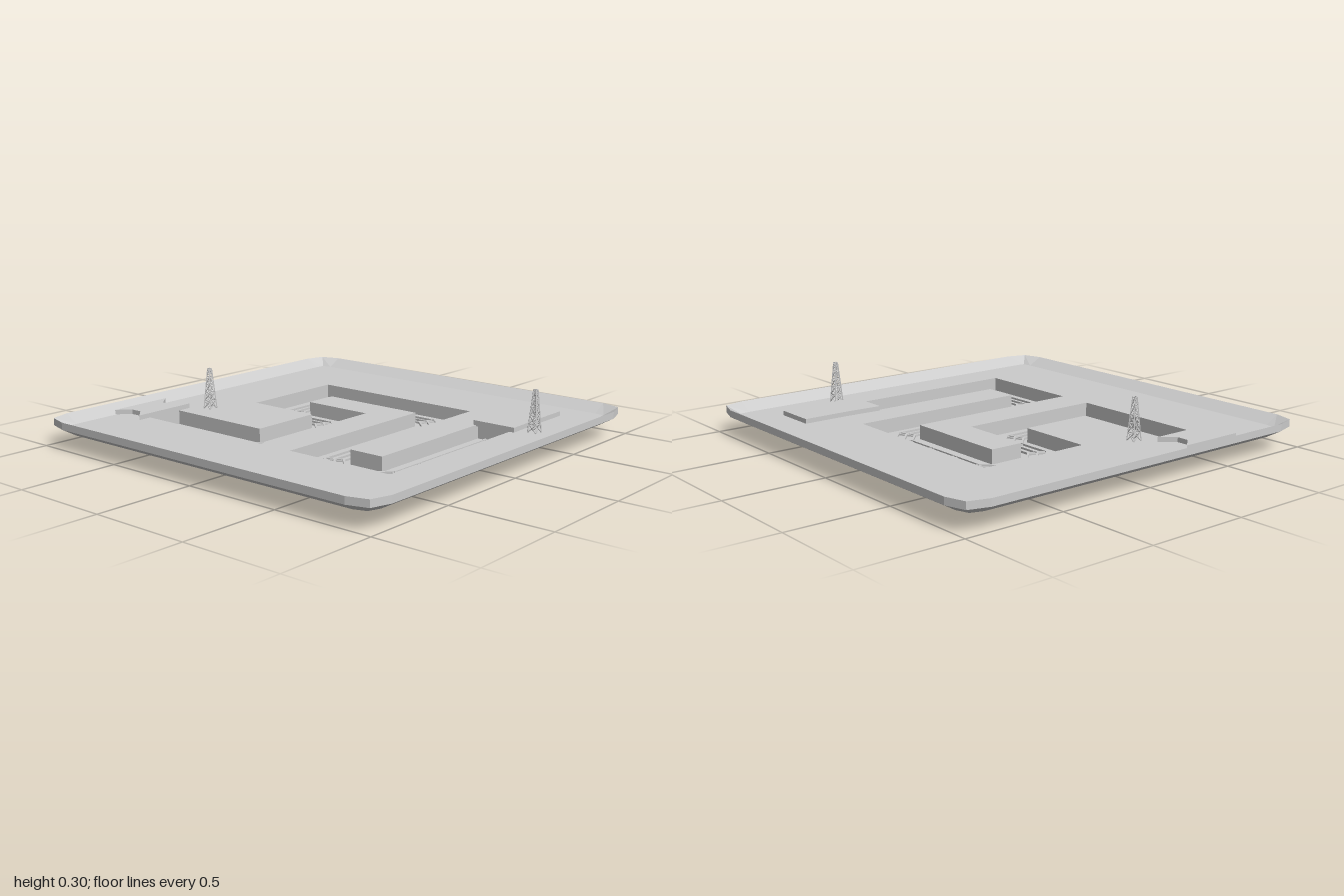
import * as THREE from 'three';
import { mergeGeometries } from 'three/addons/utils/BufferGeometryUtils.js';

const FLOOR = 0.095, UNDER = 0.06, TRENCH = 0.025, RIM = 0.135;

const mat = new THREE.MeshStandardMaterial({ color: 0xcccccc, flatShading: true, side: THREE.DoubleSide });

function mesh(name, geometry) {
  const m = new THREE.Mesh(geometry, mat);
  m.name = name;
  return m;
}

// Plan outline [x, z] to a shape that lies flat after a turn about x
const plan = pts => new THREE.Shape(pts.map(([x, z]) => new THREE.Vector2(x, -z)));

function sheet(pts, y, hole) {
  const s = plan(pts);
  if (hole) s.holes.push(plan(hole));
  return new THREE.ShapeGeometry(s).rotateX(-Math.PI / 2).translate(0, y, 0);
}

function slab(pts, y0, y1) {
  return new THREE.ExtrudeGeometry(plan(pts), { depth: y1 - y0, bevelEnabled: false })
    .rotateX(-Math.PI / 2).translate(0, y0, 0);
}

// Closed skin between successive rings of [x, z] at given heights
function skin(rings) {
  const pos = [];
  for (let k = 0; k + 1 < rings.length; k++) {
    const A = rings[k], B = rings[k + 1], n = A.pts.length;
    for (let i = 0; i < n; i++) {
      const j = (i + 1) % n;
      const p = (r, q) => [r.pts[q][0], r.y, r.pts[q][1]];
      const a = p(A, i), b = p(A, j), c = p(B, j), d = p(B, i);
      pos.push(...a, ...d, ...c, ...a, ...c, ...b);
    }
  }
  const g = new THREE.BufferGeometry();
  g.setAttribute('position', new THREE.Float32BufferAttribute(pos, 3));
  g.computeVertexNormals();
  return g;
}

// Square bar between two points
function bar(a, b, w, h = w) {
  const A = new THREE.Vector3(...a), B = new THREE.Vector3(...b);
  const g = new THREE.BoxGeometry(w, h, A.distanceTo(B));
  const o = new THREE.Object3D();
  o.position.copy(A).add(B).multiplyScalar(0.5);
  o.lookAt(B);
  o.updateMatrix();
  return g.applyMatrix4(o.matrix);
}

// Square outline with clipped corners
function outline(r, mid, cut) {
  const pts = [];
  for (const [sx, sz] of [[1, 1], [-1, 1], [-1, -1], [1, -1]]) {
    const c = [[sx * r, sz * cut], [sx * mid, sz * mid], [sx * cut, sz * r]];
    pts.push(...(sx * sz > 0 ? c : c.reverse()));
  }
  return pts;
}

const trenchOutline = [
  [-0.56, -0.75], [-0.56, 0], [0.19, 0], [0.19, -0.37], [0.36, -0.37], [0.36, 0.18],
  [-0.56, 0.18], [-0.56, 0.74], [0.37, 0.74], [0.37, 0.55], [-0.37, 0.55], [-0.37, 0.37],
  [0.56, 0.37], [0.56, -0.57], [0, -0.57], [0, -0.19], [-0.37, -0.19], [-0.37, -0.75]];

const trackPath = [
  [-0.465, -0.56], [-0.465, -0.19], [-0.375, -0.1], [0, -0.1], [0.09, -0.19], [0.09, -0.37],
  [0.185, -0.465], [0.37, -0.465], [0.46, -0.37], [0.46, 0.18], [0.37, 0.275], [-0.37, 0.275],
  [-0.465, 0.37], [-0.465, 0.55], [-0.37, 0.645], [0.36, 0.645]];

// Track: outer and centre rails with ties, in short panels
function track() {
  const parts = [], half = 0.042;
  const dirs = trackPath.slice(1).map((p, i) =>
    new THREE.Vector2(p[0] - trackPath[i][0], p[1] - trackPath[i][1]).normalize());
  // Mitred sideways offset at each path point
  const miter = trackPath.map((_, i) => {
    const a = dirs[Math.max(i - 1, 0)], b = dirs[Math.min(i, dirs.length - 1)];
    const n = new THREE.Vector2(-a.y - b.y, a.x + b.x).normalize();
    return n.multiplyScalar(1 / (n.x * -a.y + n.y * a.x));
  });
  for (let i = 0; i + 1 < trackPath.length; i++) {
    const at = (t, off, y) => [0, 1].map(k => THREE.MathUtils.lerp(
      trackPath[i][k] + miter[i].getComponent(k) * off,
      trackPath[i + 1][k] + miter[i + 1].getComponent(k) * off, t)).toSpliced(1, 0, y);
    const len = Math.hypot(trackPath[i + 1][0] - trackPath[i][0], trackPath[i + 1][1] - trackPath[i][1]);
    const n = Math.max(1, Math.round(len / 0.185));
    for (let k = 0; k < n; k++) {
      const t0 = k / n, t1 = (k + 1) / n, e = 0.012 / len;
      for (const off of [-half, 0, half]) {
        parts.push(bar(at(t0, off, 0.025), at(t1, off, 0.025), 0.01, 0.02));
        parts.push(bar(at(t0 + e, off, 0.009), at(t1 - e, off, 0.009), 0.012, 0.018));
      }
      for (const t of [t0 + e, t1 - e]) parts.push(bar(at(t, -half, 0.02), at(t, half, 0.02), 0.008, 0.025));
    }
  }
  return mergeGeometries(parts);
}

// Tapered lattice tower
function tower(x, z) {
  const parts = [], levels = 5, y0 = FLOOR, y1 = 0.3;
  const corner = (k, q) => {
    const t = k / levels, r = THREE.MathUtils.lerp(0.023, 0.007, t);
    const a = Math.PI / 4 + q * Math.PI / 2;
    return [Math.cos(a) * r * 1.414, THREE.MathUtils.lerp(y0, y1, t), Math.sin(a) * r * 1.414];
  };
  for (let q = 0; q < 4; q++) {
    parts.push(bar(corner(0, q), corner(levels, q), 0.005));
    for (let k = 0; k < levels; k++) {
      parts.push(bar(corner(k + 1, q), corner(k + 1, q + 1), 0.003));
      parts.push(bar(corner(k, q), corner(k + 1, q + 1), 0.003));
      parts.push(bar(corner(k, q + 1), corner(k + 1, q), 0.003));
    }
  }
  const m = mesh('latticeTower', mergeGeometries(parts));
  m.position.set(x, 0, z);
  return m;
}

export function createModel() {
  const model = new THREE.Group();
  model.name = 'trackPlatform';

  // Platform with a raised rim, bevelled underneath
  const bottom = outline(0.93, 0.91, 0.85), outer = outline(1, 0.97, 0.87), inner = outline(0.925, 0.92, 0.87);
  model.add(mesh('rim', skin([
    { y: UNDER, pts: bottom }, { y: 0.1, pts: outer }, { y: RIM, pts: outer }, { y: FLOOR, pts: inner }])));
  model.add(mesh('ground', sheet(inner, FLOOR, trenchOutline)));
  model.add(mesh('underside', sheet(bottom, UNDER, trenchOutline)));

  // Winding trench
  model.add(mesh('trenchWalls', skin([{ y: TRENCH, pts: trenchOutline }, { y: FLOOR, pts: trenchOutline }])));
  model.add(mesh('trenchFloor', sheet(trenchOutline, TRENCH)));
  model.add(mesh('track', track()));

  // Pads at the two ends of the trench
  model.add(mesh('startPad', slab([
    [-0.63, -0.93], [-0.57, -0.87], [-0.57, -0.81], [-0.63, -0.75],
    [-0.3, -0.75], [-0.37, -0.81], [-0.37, -0.87], [-0.3, -0.93]], FLOOR - 0.005, 0.118)));
  model.add(mesh('endPad', slab([
    [0.35, 0.535], [0.35, 0.765], [0.53, 0.76], [0.77, 0.76], [0.77, 0.545], [0.53, 0.545]], FLOOR - 0.005, 0.118)));

  // Towers beside the pads
  model.add(tower(-0.235, -0.665), tower(0.415, 0.835));
  return model;
}
